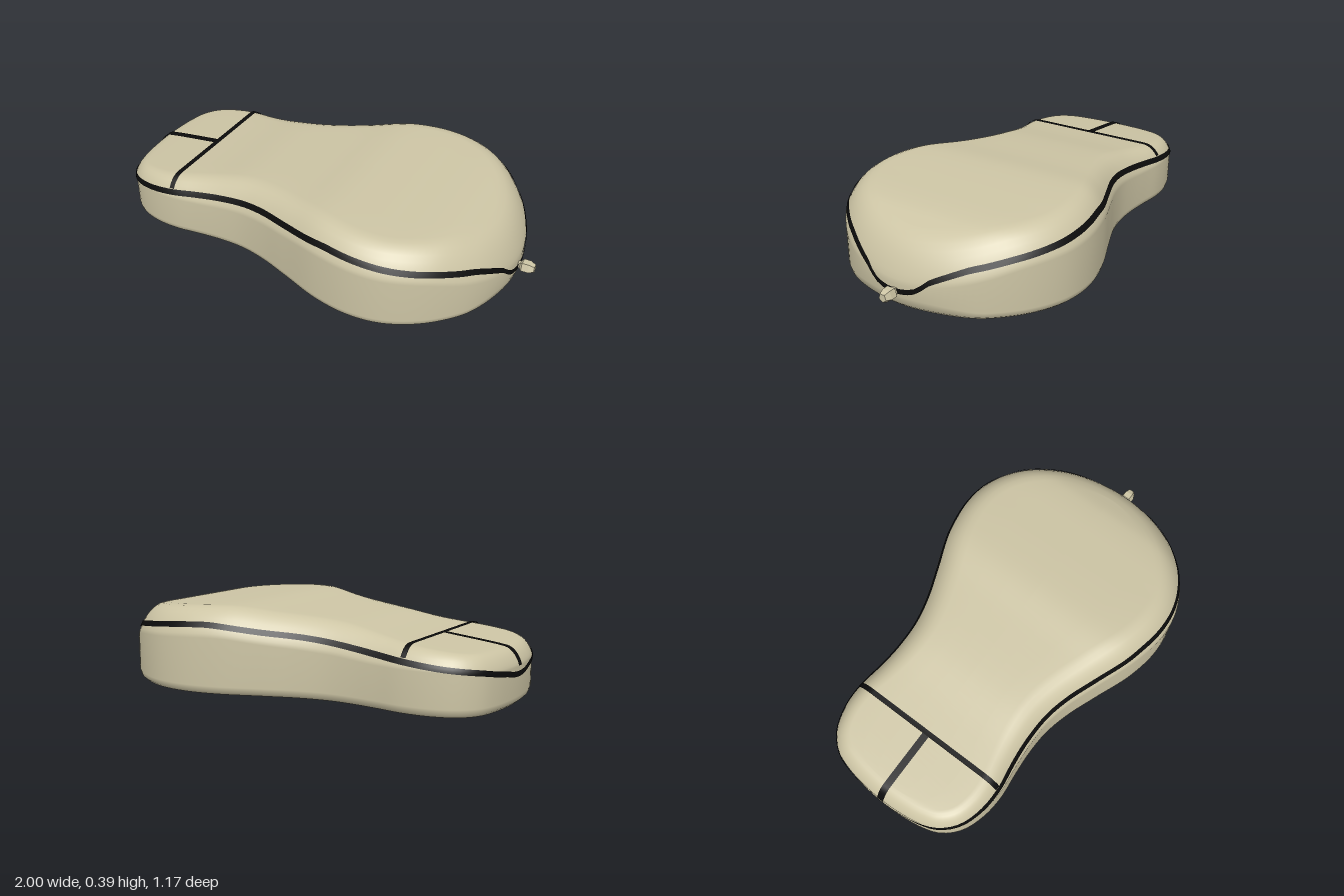
import * as THREE from 'three';

const shell = new THREE.MeshStandardMaterial({ color: 0xcdc5a5 });
const black = new THREE.MeshStandardMaterial({ color: 0x0b0b0b, side: THREE.DoubleSide });

// Smooth curve y(x) through sorted keys
function curve(keys) {
  const slope = (i) => {
    const a = keys[Math.max(i - 1, 0)], b = keys[Math.min(i + 1, keys.length - 1)];
    return (b[1] - a[1]) / (b[0] - a[0]);
  };
  return (x) => {
    let i = 0;
    while (i < keys.length - 2 && x > keys[i + 1][0]) i++;
    const [x0, y0] = keys[i], [x1, y1] = keys[i + 1], d = x1 - x0;
    const t = Math.min(Math.max((x - x0) / d, 0), 1), t2 = t * t, t3 = t2 * t;
    return (2 * t3 - 3 * t2 + 1) * y0 + (t3 - 2 * t2 + t) * d * slope(i)
      + (3 * t2 - 2 * t3) * y1 + (t3 - t2) * d * slope(i + 1);
  };
}

// Top height, seam height and size of the rounded shoulder along the length
const topY = curve([[-1, 0.235], [-0.9, 0.252], [-0.65, 0.28], [-0.5, 0.3], [-0.3, 0.335], [0, 0.365],
  [0.15, 0.384], [0.25, 0.386], [0.45, 0.376], [0.68, 0.355], [0.8, 0.315], [0.88, 0.28], [0.93, 0.25]]);
const seamY = curve([[-1, 0.14], [-0.99, 0.16], [-0.95, 0.185], [-0.8, 0.205], [-0.5, 0.235], [-0.2, 0.27],
  [0, 0.287], [0.2, 0.31], [0.3, 0.31], [0.5, 0.295], [0.7, 0.268], [0.8, 0.24], [0.85, 0.218],
  [0.9, 0.165], [0.917, 0.11], [0.926, 0.09]]);
const round = (x) => 0.5 + 0.5 * THREE.MathUtils.smoothstep(x, -1, -0.2);

// Plan outline: half of it, then mirrored
const half = [[-1, 0], [-0.995, 0.1], [-0.98, 0.2], [-0.95, 0.285], [-0.88, 0.358], [-0.77, 0.4], [-0.65, 0.411],
  [-0.52, 0.398], [-0.4, 0.39], [-0.28, 0.395], [-0.15, 0.425], [0, 0.48], [0.2, 0.555], [0.37, 0.583],
  [0.52, 0.565], [0.67, 0.49], [0.8, 0.365], [0.87, 0.25], [0.912, 0.12], [0.925, 0]];
const loop = [...half, ...half.slice(1, -1).reverse().map(([x, z]) => [x, -z])];
const N = 160;
const pts = new THREE.CatmullRomCurve3(loop.map(([x, z]) => new THREE.Vector3(x, 0, z)), true)
  .getSpacedPoints(N).slice(0, N);
const outline = pts.map((p, i) => {
  const t = pts[(i + 1) % N].clone().sub(pts[(i + N - 1) % N]).normalize();
  return { x: p.x, z: p.z, nx: -t.z, nz: t.x };
});

// Shoulder profile: inset from the outline, drop below the top
const shoulder = [[0, 0.13], [0.004, 0.112], [0.012, 0.093], [0.025, 0.07], [0.042, 0.047],
  [0.062, 0.027], [0.085, 0.012], [0.11, 0.003], [0.14, 0]];

// Point at a given inset; negative inset lies outside
const inset = (o, d, y) => {
  const x = o.x - o.nx * d;
  return new THREE.Vector3(x, y(x), o.z - o.nz * d);
};
const rim = (o, [d, drop]) => inset(o, d * round(o.x), (x) => topY(x) - drop * round(o.x));

// Indexed skin over rows of points
function skin(rows, closed) {
  const n = rows[0].length, index = [];
  for (let j = 0; j < rows.length - 1; j++) {
    for (let i = 0; i < (closed ? n : n - 1); i++) {
      const k = (i + 1) % n, a = j * n + i, b = j * n + k, c = b + n, d = a + n;
      index.push(a, b, c, a, c, d);
    }
  }
  const g = new THREE.BufferGeometry().setFromPoints(rows.flat());
  g.setIndex(index);
  g.computeVertexNormals();
  return g;
}

function add(group, name, geometry, material) {
  const mesh = new THREE.Mesh(geometry, material);
  mesh.name = name;
  group.add(mesh);
  return mesh;
}

function bodyGeometry() {
  // Underside edge, undercut more at the rear
  const base = [[0.05, 0], [0.028, 0.001], [0.02, 0.004], [0.007, 0.016], [0, 0.04]].map(([d, y]) =>
    outline.map((o) => {
      const s = 1 + 0.7 * THREE.MathUtils.smoothstep(o.x, 0.8, 0.925);
      return inset(o, d * s, () => y * s);
    }));
  const top = shoulder.map((s) => outline.map((o) => rim(o, s)));
  const squash = (row, t) => row.map((p) => new THREE.Vector3(p.x, p.y, p.z * t));
  const last = top[top.length - 1];
  return skin([squash(base[0], 0), squash(base[0], 0.6), ...base, ...top,
    squash(last, 0.7), squash(last, 0.35), squash(last, 0)], true);
}

// Seam band hugging the shell
function seamGeometry() {
  const at = (o, y) => {
    const list = shoulder.map((s) => rim(o, s));
    let d = 0;
    for (let i = 0; i < list.length - 1; i++) {
      if (y >= list[i].y && y < list[i + 1].y) {
        const t = (y - list[i].y) / (list[i + 1].y - list[i].y);
        d = THREE.MathUtils.lerp(shoulder[i][0], shoulder[i + 1][0], t) * round(o.x);
      }
    }
    return inset(o, d - 0.004, () => y);
  };
  return skin([-0.012, -0.004, 0.004, 0.012].map((h) => outline.map((o) => at(o, seamY(o.x) + h))), true);
}

// Flat ribbon along a path, widened along one axis and lifted clear of the shell
function ribbon(path, side, lift) {
  return skin([-1, 1].map((s) => path.map((p) => p.clone().add(lift(p)).addScaledVector(side, s))), false);
}

export function createModel() {
  const mouse = new THREE.Group();
  mouse.name = 'computerMouse';
  add(mouse, 'shell', bodyGeometry(), shell);
  add(mouse, 'sideSeam', seamGeometry(), black);

  // Groove across the shell behind the buttons
  const bx = -0.652;
  const edge = outline.filter((o) => o.z > 0)
    .reduce((a, b) => (Math.abs(b.x - bx) < Math.abs(a.x - bx) ? b : a));
  const across = shoulder.slice(3).map((s) => rim(edge, s).setX(bx));
  const mirrored = across.map((p) => new THREE.Vector3(p.x, p.y, -p.z)).reverse();
  add(mouse, 'buttonRearGroove', ribbon([...across, ...mirrored], new THREE.Vector3(0.012, 0, 0),
    (p) => new THREE.Vector3(0, 0.004, Math.sign(p.z) * 0.003)), black);

  // Groove between the two buttons, running down to the seam
  const along = shoulder.map((s) => rim(outline[0], s));
  for (let i = 1; i <= 8; i++) {
    const x = THREE.MathUtils.lerp(-0.93, bx, i / 8);
    along.push(new THREE.Vector3(x, topY(x), 0));
  }
  add(mouse, 'buttonSplitGroove', ribbon(along, new THREE.Vector3(0, 0, 0.017),
    () => new THREE.Vector3(-0.003, 0.004, 0)), black);

  // Cable stub: five-sided neck, collar and tapered tip
  const cable = new THREE.Group();
  cable.name = 'cableStub';
  const flat = shell.clone();
  flat.flatShading = true;
  [['neck', 0.018, 0.018, 0.9, 0.94], ['collarRear', 0.031, 0.02, 0.935, 0.945],
    ['collar', 0.031, 0.031, 0.945, 0.975], ['tip', 0.02, 0.031, 0.975, 1]].forEach(([name, r1, r0, x0, x1]) => {
    const g = new THREE.CylinderGeometry(r1, r0, x1 - x0, 5, 1, false, Math.PI / 2);
    g.rotateZ(-Math.PI / 2);
    add(cable, name, g, flat).position.set((x0 + x1) / 2, 0.09, 0);
  });
  mouse.add(cable);
  return mouse;
}
